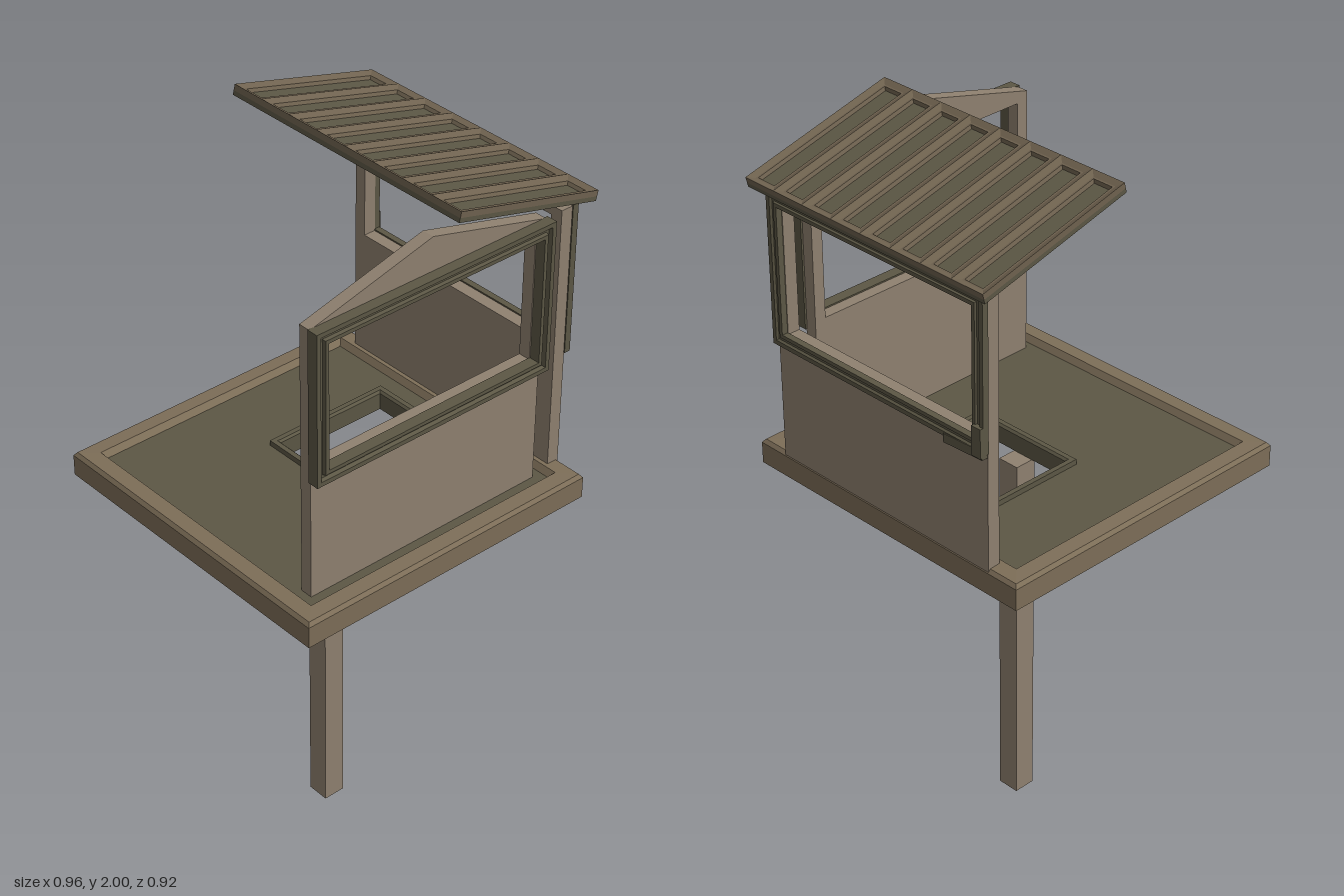
import * as THREE from 'three';

const paint = (color) => new THREE.MeshStandardMaterial({ color });
const WALL = paint(0x8f8170), RIM = paint(0x7d6e58), DARK = paint(0x5c5745), ROOF = paint(0x6f624f);

function add(parent, name, geometry, material, x = 0, y = 0, z = 0) {
  const mesh = new THREE.Mesh(geometry, material);
  mesh.name = name;
  mesh.position.set(x, y, z);
  parent.add(mesh);
  return mesh;
}

// Mitred rectangular frame in the xy plane: a closed [inset, height] profile
// (outer low, outer top, inner top, inner low) carried around four corners.
function mitredFrame(w, h, profile) {
  const corner = [[-1, -1], [1, -1], [1, 1], [-1, 1]];
  const at = (k, [inset, z]) => {
    const [sx, sy] = corner[k % 4];
    return [sx * (w / 2 - inset), sy * (h / 2 - inset), z];
  };
  const pos = [];
  for (let k = 0; k < 4; k++) {
    profile.forEach((p, i) => {
      const q = profile[(i + 1) % profile.length];
      const a = at(k, p), b = at(k + 1, p), c = at(k + 1, q), d = at(k, q);
      pos.push(...a, ...b, ...c, ...a, ...c, ...d);
    });
  }
  const geometry = new THREE.BufferGeometry();
  geometry.setAttribute('position', new THREE.Float32BufferAttribute(pos, 3));
  geometry.computeVertexNormals();
  return geometry;
}

// Flat board from an outline with one rectangular hole
function board(points, [x0, y0, x1, y1], depth) {
  const shape = new THREE.Shape(points.map(([x, y]) => new THREE.Vector2(x, y)));
  const hole = [[x0, y0], [x0, y1], [x1, y1], [x1, y0]];
  shape.holes.push(new THREE.Path(hole.map(([x, y]) => new THREE.Vector2(x, y))));
  return new THREE.ExtrudeGeometry(shape, { depth, bevelEnabled: false });
}

const windowProfile = (d) => [[0, 0], [0, d], [0.012, d], [0.016, d * 0.7], [0.024, d * 0.7], [0.026, d], [0.036, d], [0.036, 0]];

function createPlatform() {
  const platform = new THREE.Group();
  platform.name = 'platform';
  platform.position.x = -0.025;

  // bevelled rim around the floor
  add(platform, 'platformRim', mitredFrame(0.91, 0.92, [
    [0.012, 1.03], [0, 1.04], [0, 1.1], [0.008, 1.11], [0.05, 1.112], [0.062, 1.095], [0.062, 1.05], [0.035, 1.03],
  ]), RIM).rotation.x = -Math.PI / 2;

  // floor with the hatch opening
  const floor = board([[-0.4, -0.41], [0.4, -0.41], [0.4, 0.41], [-0.4, 0.41]], [-0.025, -0.15, 0.315, 0.15], 0.04);
  add(platform, 'floor', floor, DARK, 0, 1.055, 0).rotation.x = -Math.PI / 2;

  // raised hatch surround
  const hatch = mitredFrame(0.38, 0.34, [[0, 0], [0, 0.016], [0.014, 0.016], [0.02, 0.01], [0.02, 0]]);
  add(platform, 'hatchFrame', hatch, DARK, 0.145, 1.094, 0).rotation.x = -Math.PI / 2;
  return platform;
}

function createFrontWall() {
  const wall = new THREE.Group();
  wall.name = 'frontWall';
  // gabled panel
  const outline = [[-0.395, 1.09], [0.34, 1.09], [0.34, 1.85], [-0.025, 1.945], [-0.395, 1.85]];
  add(wall, 'frontPanel', board(outline, [-0.36, 1.465, 0.307, 1.825], 0.035), WALL, 0, 0, 0.335);
  add(wall, 'frontWindowFrame', mitredFrame(0.745, 0.42, windowProfile(0.032)), DARK, -0.027, 1.643, 0.368);
  return wall;
}

function createSideWall() {
  // built facing +z, then turned to face +x
  const wall = new THREE.Group();
  wall.name = 'sideWall';
  wall.rotation.y = Math.PI / 2;
  const outline = [[-0.37, 1.09], [0.365, 1.09], [0.365, 1.85], [-0.37, 1.85]];
  add(wall, 'sidePanel', board(outline, [-0.335, 1.465, 0.33, 1.825], 0.036), WALL, 0, 0, 0.392);
  add(wall, 'sideWindowFrame', mitredFrame(0.74, 0.42, windowProfile(0.018)), DARK, -0.003, 1.643, 0.427);
  // splintered lower corner of the frame
  add(wall, 'sillSplinter', new THREE.BoxGeometry(0.13, 0.024, 0.018), DARK, 0.3, 1.432, 0.438).rotation.z = 0.05;
  add(wall, 'frameSplinter', new THREE.BoxGeometry(0.03, 0.08, 0.02), DARK, 0.352, 1.47, 0.444);
  return wall;
}

function createRoof() {
  // one pitched half: backing sheet plus a row of recessed planks with ridged battens
  const roof = new THREE.Group();
  roof.name = 'roof';
  const length = 0.463, width = 0.806, count = 8, cell = width / count;
  add(roof, 'roofSheet', new THREE.BoxGeometry(length, 0.012, width), DARK, 0, 0.006, 0);
  const plank = mitredFrame(length, cell, [[0, 0.012], [0, 0.028], [0.016, 0.021], [0.021, 0.021], [0.025, 0.012]]);
  for (let i = 0; i < count; i++) {
    add(roof, 'roofPlank', plank, ROOF, 0, 0, (i + 0.5) * cell - width / 2).rotation.x = -Math.PI / 2;
  }
  roof.position.set(0.249, 1.917, -0.002);
  roof.rotation.z = -Math.atan2(0.115, 0.448);
  return roof;
}

export function createModel() {
  const model = new THREE.Group();
  model.name = 'lookoutHouse';
  add(model, 'post', new THREE.BoxGeometry(0.063, 1.055, 0.064), WALL, -0.028, 0.5275, 0);
  model.add(createPlatform(), createFrontWall(), createSideWall(), createRoof());
  return model;
}
